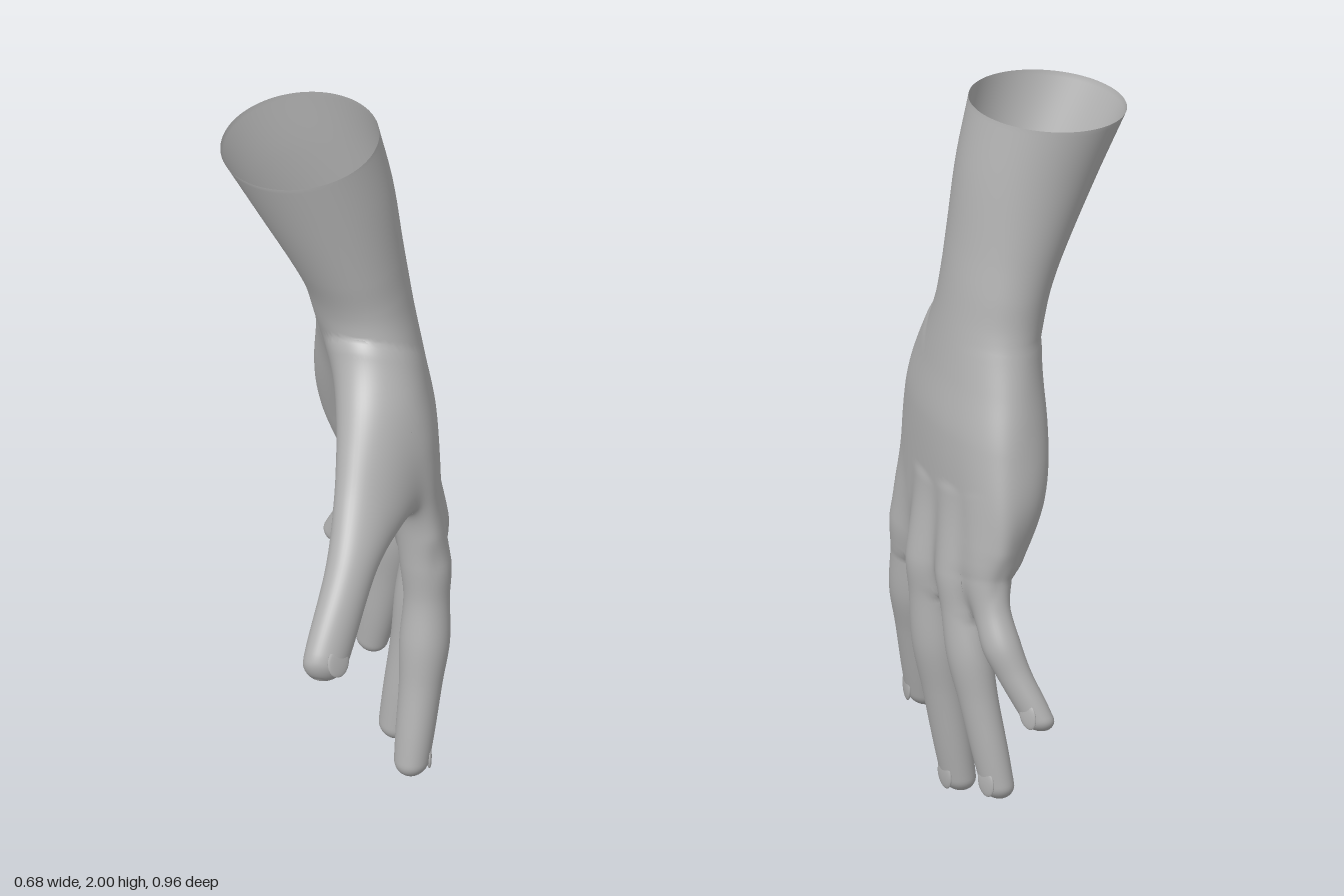
import * as THREE from 'three';

const vec = (x, y, z) => new THREE.Vector3(x, y, z);

// Stations are [x, y, z, half width, half thickness] from the forearm to the knuckles
const PALM = [
  [-0.078, 1.975, -0.072, 0.204, 0.211], [-0.015, 1.8, -0.06, 0.192, 0.186], [0.05, 1.6, -0.053, 0.184, 0.15],
  [0.08, 1.5, -0.052, 0.183, 0.136], [0.1, 1.4, -0.047, 0.192, 0.13], [0.13, 1.25, -0.035, 0.235, 0.122],
  [0.165, 1.1, -0.03, 0.272, 0.11], [0.203, 0.84, -0.032, 0.305, 0.075], [0.215, 0.74, -0.025, 0.26, 0.058],
  [0.228, 0.6, -0.01, 0.16, 0.025],
];

const THUMB = [
  [0.055, 1.36, 0.06, 0.045, 0.04], [0.012, 1.2, 0.16, 0.1, 0.08], [-0.055, 1.01, 0.262, 0.112, 0.074],
  [-0.16, 0.88, 0.348, 0.073, 0.06], [-0.275, 0.69, 0.425, 0.067, 0.052], [-0.305, 0.63, 0.442, 0.056, 0.044],
];

// Fleshy pad on the little-finger side of the palm
const HEEL = [
  [0.11, 1.36, -0.12, 0.04, 0.04], [0.132, 1.15, -0.195, 0.078, 0.078],
  [0.17, 0.95, -0.245, 0.078, 0.074], [0.22, 0.74, -0.235, 0.045, 0.04],
];

// How a finger swells at its joints: [place along finger, width, thickness]
const FINGER_PROFILE = [
  [0, 0.6, 0.45], [1 / 3, 1.08, 0.98], [0.5, 1, 0.91], [2 / 3, 1.08, 1], [0.78, 0.96, 0.86], [0.9, 0.9, 0.77], [1, 0.8, 0.66],
];

// Adds a frame (u across, v to the palm side, t along) and section keys with slopes.
// back is the way the limb's back faces; blend is how softly it joins the rest.
function makeLimb(name, stations, back, options) {
  const pts = stations.map((p) => vec(p[0], p[1], p[2]));
  const t = (options.axis ?? pts[pts.length - 1].clone().sub(pts[0])).normalize();
  const u = t.clone().cross(back).normalize();
  const v = t.clone().cross(u);
  const s = pts.map((p) => p.dot(t));
  const keys = pts.map((p, i) => [p.dot(u), p.dot(v), stations[i][3], stations[i][4]]);
  const slopes = keys.map((key, i) => {
    const lo = Math.max(i - 1, 0), hi = Math.min(i + 1, keys.length - 1);
    return key.map((_, k) => (keys[hi][k] - keys[lo][k]) / (s[hi] - s[lo]));
  });
  return { name, ...options, t, u, v, s, keys, slopes, start: s[0], end: s[s.length - 1] };
}

// A finger from its knuckle, middle joint and tip, rooted inside the palm
function makeFinger(name, knuckle, joint, tip, radius, back) {
  const root = vec(knuckle.x - 0.035, knuckle.y + 0.24, knuckle.z * 0.85);
  const curve = new THREE.CatmullRomCurve3([root, knuckle, joint, tip], false, 'catmullrom');
  const stations = FINGER_PROFILE.map(([at, w, d]) => [...curve.getPoint(at).toArray(), radius * w, radius * d]);
  return makeLimb(name, stations, back, { blend: 0.055, rings: 80, sides: 36 });
}

// Cross-section [centre u, centre v, half width, half thickness] with rounded ends
function sectionAt(limb, along) {
  const { s, keys, slopes, start, end } = limb;
  const x = Math.min(Math.max(along, start), end);
  let i = 0;
  while (i < s.length - 2 && x > s[i + 1]) i++;
  const h = s[i + 1] - s[i], w = (x - s[i]) / h, w2 = w * w, w3 = w2 * w;
  const out = keys[i].map((key, k) => (2 * w3 - 3 * w2 + 1) * key + (w3 - 2 * w2 + w) * h * slopes[i][k]
    + (3 * w2 - 2 * w3) * keys[i + 1][k] + (w3 - w2) * h * slopes[i + 1][k]);
  const round = (gap, r) => (gap < r ? Math.sqrt(Math.max(1 - (1 - gap / r) ** 2, 1e-5)) : 1);
  let cap = round(end - x, keys[keys.length - 1][3]);
  if (!limb.open) cap *= round(x - start, keys[0][3]);
  out[2] *= cap;
  out[3] *= cap;
  return out;
}

// Approximate signed distance to one limb
function limbDistance(limb, p) {
  const along = p.dot(limb.t);
  const [cu, cv, a, b] = sectionAt(limb, along);
  const du = p.dot(limb.u) - cu + 1e-7, dv = p.dot(limb.v) - cv;
  const q = Math.hypot(du / a, dv / b);
  const d = (q * (q - 1)) / Math.hypot(du / (a * a), dv / (b * b));
  const past = Math.max(along - limb.end, limb.open ? 0 : limb.start - along, 0);
  return past > 0 ? Math.hypot(Math.max(d, 0), past) : d;
}

// Soft union of all limbs
function skinDistance(limbs, p) {
  let d = limbDistance(limbs[0], p);
  for (const limb of limbs.slice(1)) {
    const e = limbDistance(limb, p), k = limb.blend;
    const h = Math.max(k - Math.abs(d - e), 0) / k;
    d = Math.min(d, e) - (h * h * k) / 4;
  }
  return d;
}

function skinGradient(limbs, p, eps) {
  const g = vec(0, 0, 0), q = p.clone();
  for (const c of ['x', 'y', 'z']) {
    q[c] = p[c] + eps;
    const hi = skinDistance(limbs, q);
    q[c] = p[c] - eps;
    g[c] = (hi - skinDistance(limbs, q)) / (2 * eps);
    q[c] = p[c];
  }
  return g;
}

const pointOn = (limb, s, u, v) => vec(0, 0, 0)
  .addScaledVector(limb.t, s).addScaledVector(limb.u, u).addScaledVector(limb.v, v);

// Lofts a limb, then eases vertices near a joint out onto the blended skin
function loft(limb, limbs) {
  const position = [], normal = [], index = [];
  const { rings, sides } = limb;
  for (let i = 0; i <= rings; i++) {
    const f = i / rings;
    const w = limb.open ? Math.sin((f * Math.PI) / 2) : (1 - Math.cos(f * Math.PI)) / 2;
    const s = limb.start + (limb.end - limb.start) * w;
    const [cu, cv, a, b] = sectionAt(limb, s);
    for (let j = 0; j <= sides; j++) {
      const angle = ((j % sides) / sides) * Math.PI * 2;
      const p = pointOn(limb, s, cu + a * Math.cos(angle), cv + b * Math.sin(angle));
      let d = skinDistance(limbs, p);
      if (d > -0.06) {
        for (let n = 0; n < 8 && d < -0.0004; n++) {
          const g = skinGradient(limbs, p, 0.003);
          const step = Math.min(-d / Math.max(g.length(), 0.3), 0.02);
          p.addScaledVector(g.normalize(), step);
          d = skinDistance(limbs, p);
        }
      }
      const n = skinGradient(limbs, p, 0.008).normalize();
      position.push(p.x, p.y, p.z);
      normal.push(n.x, n.y, n.z);
      if (i < rings && j < sides) {
        const k = i * (sides + 1) + j, m = k + sides + 1;
        index.push(k, k + 1, m, k + 1, m + 1, m);
      }
    }
  }
  const geometry = new THREE.BufferGeometry();
  geometry.setAttribute('position', new THREE.Float32BufferAttribute(position, 3));
  geometry.setAttribute('normal', new THREE.Float32BufferAttribute(normal, 3));
  geometry.setIndex(index);
  return geometry;
}

// Nail: a thin shell set into the back of the fingertip
function makeNail(limb, material) {
  const s = limb.end - 0.055;
  const [cu, cv, a, b] = sectionAt(limb, s);
  const nail = new THREE.Mesh(new THREE.SphereGeometry(1, 20, 12), material);
  nail.name = limb.name + 'Nail';
  nail.scale.set(a * 0.6, 0.04, 0.007);
  nail.quaternion.setFromRotationMatrix(new THREE.Matrix4().makeBasis(limb.u, limb.t.clone().negate(), limb.v));
  nail.position.copy(pointOn(limb, s, cu, cv - b + 0.004));
  return nail;
}

export function createModel() {
  const group = new THREE.Group();
  group.name = 'hand';
  const skin = new THREE.MeshStandardMaterial({ color: 0xb0b0b0, side: THREE.DoubleSide });
  skin.name = 'grey skin';

  const palm = makeLimb('forearmAndPalm', PALM, vec(1, 0, 0.24), { axis: vec(0.12, -1, 0), open: true, rings: 150, sides: 96 });
  const heel = makeLimb('palmHeel', HEEL, vec(1, 0, 0.24), { blend: 0.1, rings: 80, sides: 48 });
  const thumb = makeLimb('thumb', THUMB, vec(0.3, 0.3, 0.85), { blend: 0.14, rings: 90, sides: 48 });
  const index = makeFinger('indexFinger', vec(0.145, 0.72, 0.2), vec(0.13, 0.48, 0.228), vec(0.06, 0.1, 0.275), 0.067, vec(0.9, 0, 0.4));
  const middle = makeFinger('middleFinger', vec(0.25, 0.72, 0.012), vec(0.24, 0.45, 0), vec(0.178, 0, -0.025), 0.063, vec(1, 0, 0.1));
  const ring = makeFinger('ringFinger', vec(0.278, 0.74, -0.142), vec(0.281, 0.5, -0.19), vec(0.25, 0.1, -0.282), 0.058, vec(1, 0, -0.1));
  const little = makeFinger('littleFinger', vec(0.27, 0.76, -0.26), vec(0.283, 0.58, -0.328), vec(0.232, 0.36, -0.446), 0.049, vec(0.9, 0, -0.3));

  const digits = [thumb, index, middle, ring, little];
  const limbs = [palm, heel, ...digits];
  for (const limb of limbs) {
    const mesh = new THREE.Mesh(loft(limb, limbs), skin);
    mesh.name = limb.name;
    group.add(mesh);
  }
  for (const digit of digits) group.add(makeNail(digit, skin));
  return group;
}
